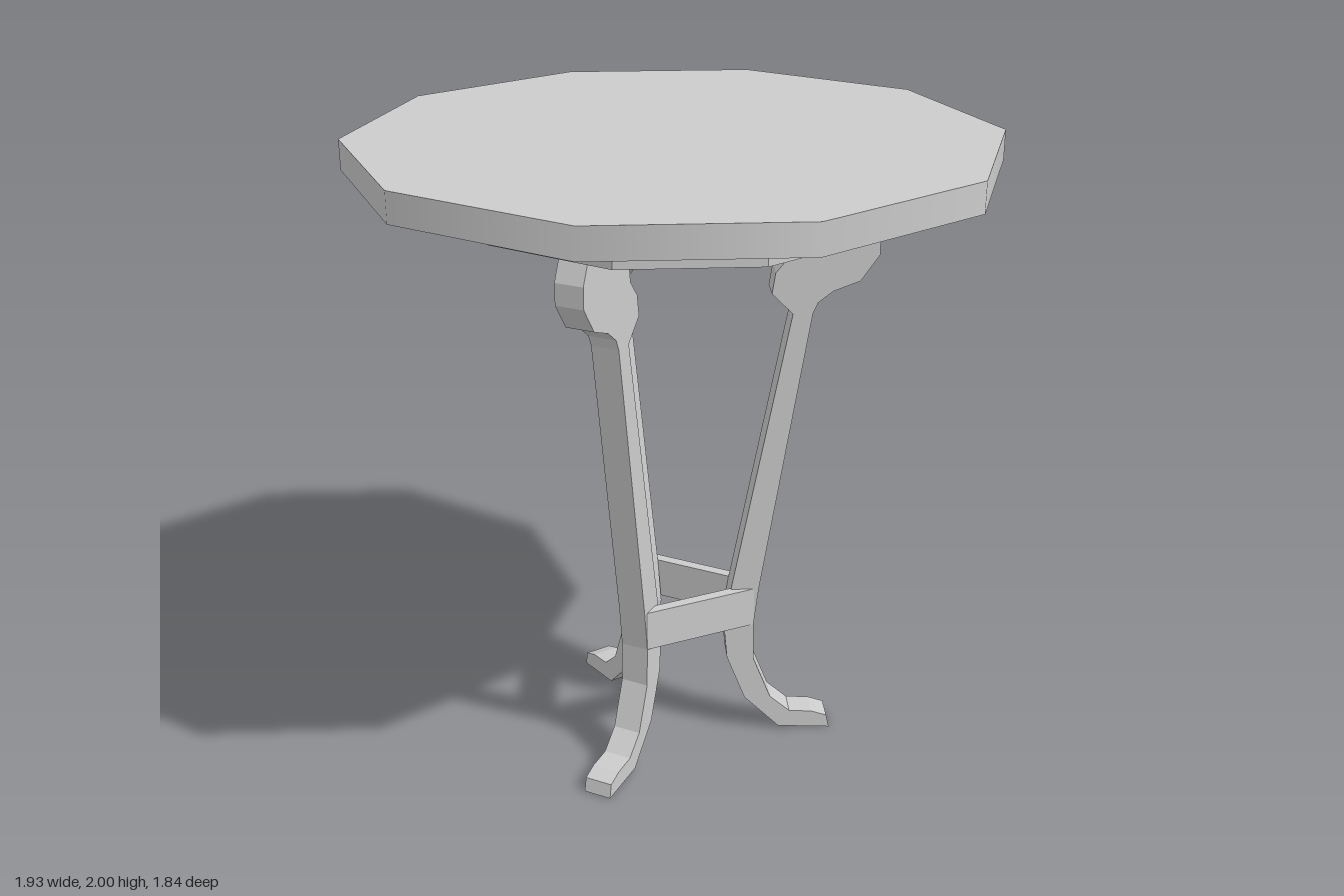
import * as THREE from 'three';

const SIDES = 10;
const LEG_HALF = 0.045;

// Leg silhouette as [distance from centre, height], counter-clockwise
const LEG_PROFILE = [
  // foot, then up the outer edge
  [0.34, 0.01], [0.51, 0], [0.5, 0.045], [0.45, 0.062], [0.375, 0.068],
  [0.31, 0.125], [0.253, 0.27], [0.25, 0.4], [0.265, 0.53], [0.41, 1.46],
  // scrolled head
  [0.425, 1.495], [0.47, 1.53], [0.55, 1.56], [0.605, 1.64], [0.605, 1.705],
  [0.565, 1.795], [0.5, 1.91], [0.24, 1.91],
  [0.285, 1.795], [0.325, 1.765], [0.345, 1.72], [0.335, 1.64], [0.295, 1.59],
  [0.285, 1.525], [0.35, 1.46],
  // down the inner edge
  [0.175, 0.53], [0.155, 0.39], [0.165, 0.28], [0.225, 0.125],
];

// The three legs, one standing slightly closer in than the others
const LEGS = [
  { angle: 0, x: 0, z: 0 },
  { angle: (2 * Math.PI) / 3, x: -0.015, z: -0.053 },
  { angle: (4 * Math.PI) / 3, x: 0, z: 0 },
];

function toShape(points) {
  return new THREE.Shape(points.map(([x, y]) => new THREE.Vector2(x, y)));
}

export function createModel() {
  const model = new THREE.Group();
  const smooth = new THREE.MeshStandardMaterial({ color: 0xcccccc });
  const flat = new THREE.MeshStandardMaterial({ color: 0xcccccc, flatShading: true });
  const flatDouble = flat.clone();
  flatDouble.side = THREE.DoubleSide;

  const add = (name, geometry, material) => {
    const mesh = new THREE.Mesh(geometry, material);
    mesh.name = name;
    model.add(mesh);
    return mesh;
  };

  // Ten-sided top and the open ring below it
  const top = new THREE.CylinderGeometry(0.965, 0.965, 0.09, SIDES).rotateY(Math.PI / 2);
  add('tableTop', top, smooth).position.y = 1.955;
  const apron = new THREE.CylinderGeometry(0.658, 0.658, 0.115, SIDES, 1, true).rotateY(Math.PI / 2);
  add('apron', apron, flatDouble).position.y = 1.8525;

  // Legs
  const legGeometry = new THREE.ExtrudeGeometry(toShape(LEG_PROFILE), {
    depth: LEG_HALF * 2, bevelEnabled: false,
  }).translate(0, 0, -LEG_HALF);
  for (const { angle, x, z } of LEGS) {
    const leg = add('leg', legGeometry, flat);
    leg.rotation.y = -angle;
    leg.position.set(x, 0, z);
  }

  // Stretcher frame running round the legs
  const corners = [];
  for (const { angle, x, z } of LEGS) {
    for (const side of [-LEG_HALF, LEG_HALF]) {
      const c = Math.cos(angle), s = Math.sin(angle);
      corners.push([0.25 * c - side * s + x, 0.25 * s + side * c + z]);
    }
  }
  const frame = toShape(corners);
  frame.holes.push(new THREE.Path(
    corners.map(([x, z]) => new THREE.Vector2(x * 0.76, z * 0.76 - 0.004)).reverse()
  ));
  const stretcher = new THREE.ExtrudeGeometry(frame, { depth: 0.13, bevelEnabled: false });
  stretcher.rotateX(Math.PI / 2);
  add('stretcher', stretcher, flat).position.y = 0.53;

  return model;
}
